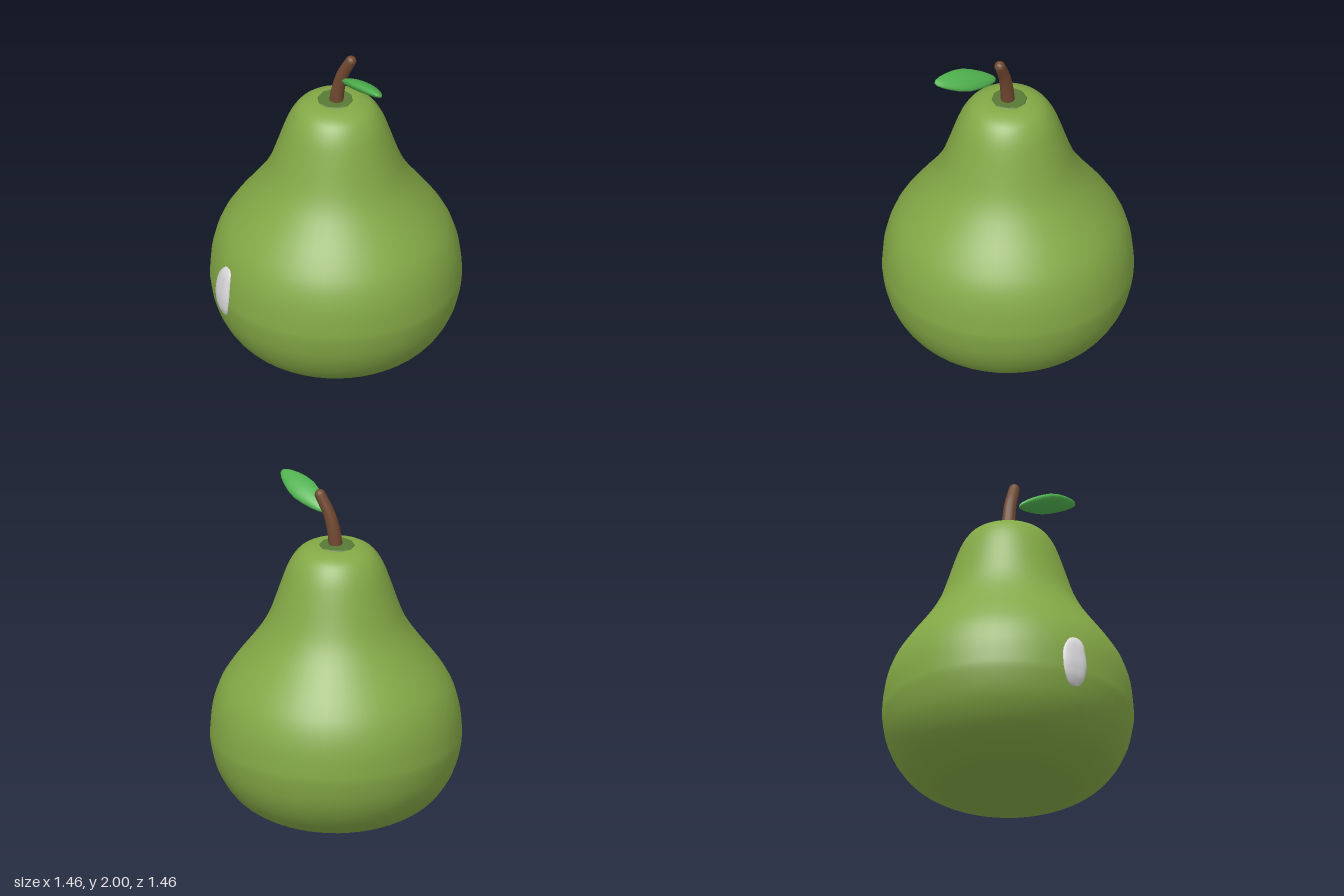
import * as THREE from 'three';

// Silhouette of the fruit as [radius, height]
const PROFILE = [
  [0, 0.03], [0.16, 0.02], [0.3, 0.005], [0.38, 0.017], [0.47, 0.05], [0.57, 0.115], [0.645, 0.205],
  [0.7, 0.32], [0.727, 0.45], [0.727, 0.53], [0.712, 0.66], [0.67, 0.79], [0.6, 0.905], [0.51, 1.025],
  [0.44, 1.125], [0.39, 1.22], [0.35, 1.33], [0.317, 1.43], [0.28, 1.53], [0.235, 1.605],
  [0.185, 1.645], [0.11, 1.667], [0, 1.662],
];

function bodyRadius(y) {
  for (let i = 3; i < PROFILE.length; i++) {
    const [r0, y0] = PROFILE[i - 1], [r1, y1] = PROFILE[i];
    if (y <= y1) return r0 + (r1 - r0) * (y - y0) / (y1 - y0);
  }
  return 0;
}

// Moves each vertex of a unit sphere by a rule
function shapedSphere(w, h, rule) {
  const geo = new THREE.SphereGeometry(1, w, h);
  const pos = geo.attributes.position, p = new THREE.Vector3();
  for (let i = 0; i < pos.count; i++) {
    rule(p.fromBufferAttribute(pos, i));
    pos.setXYZ(i, p.x, p.y, p.z);
  }
  geo.computeVertexNormals();
  return geo;
}

export function createModel() {
  const model = new THREE.Group();
  const mat = (name, color) => {
    const m = new THREE.MeshStandardMaterial({ color });
    m.name = name;
    return m;
  };
  const pearGreen = mat('pear green', 0x84a946);
  const darkGreen = mat('dark green', 0x587a36);
  const bark = mat('bark brown', 0x704830);
  const leafGreen = mat('leaf green', 0x4fb04e);
  const paleGrey = mat('pale grey', 0xdcdcde);
  const add = (name, geo, material, parent = model) => {
    const mesh = new THREE.Mesh(geo, material);
    mesh.name = name;
    parent.add(mesh);
    return mesh;
  };

  // Fruit
  const curve = new THREE.SplineCurve(PROFILE.map(([r, y]) => new THREE.Vector2(r, y)));
  const outline = curve.getPoints(66).map((p) => new THREE.Vector2(Math.max(p.x, 0), p.y));
  add('body', new THREE.LatheGeometry(outline, 48), pearGreen);

  // Dark patch round the foot of the stem
  const cap = add('stemSocket', new THREE.CylinderGeometry(0.1, 0.105, 0.007, 10), darkGreen);
  cap.position.set(-0.008, 1.669, -0.005);

  // Stem: bent, slightly tapering, with a rounded tip
  const stem = new THREE.Group();
  stem.name = 'stem';
  model.add(stem);
  const path = new THREE.CatmullRomCurve3([
    [0, 1.64, 0], [0.012, 1.74, 0], [0.04, 1.85, 0], [0.098, 1.968, 0],
  ].map((a) => new THREE.Vector3(...a)));
  const tube = new THREE.TubeGeometry(path, 16, 1, 12);
  const tp = tube.attributes.position;
  for (let i = 0; i < tp.count; i++) {
    const t = Math.floor(i / 13) / 16, c = path.getPointAt(t);
    const v = new THREE.Vector3().fromBufferAttribute(tp, i).sub(c).multiplyScalar(0.042 - 0.01 * t).add(c);
    tp.setXYZ(i, v.x, v.y, v.z);
  }
  tube.computeVertexNormals();
  add('stemShaft', tube, bark, stem);
  add('stemTip', new THREE.SphereGeometry(0.032, 12, 8), bark, stem).position.set(0.098, 1.968, 0);

  // Leaf: thick lozenge, long along x, wide along z, slightly cupped
  const leafGeo = shapedSphere(20, 16, (p) => {
    const t = p.x;
    const taper = 0.72 + 0.28 * (1 - Math.abs(t - 0.1));
    p.x = t * 0.215;
    p.z *= 0.078 * taper;
    p.y = p.y * 0.032 + 0.012 * (1 - t * t) - 0.006;
  });
  const axis = new THREE.Vector3(0.34, 0.12, 0.2).normalize();
  const side = new THREE.Vector3(-0.43, 0.5, 0.75);
  side.addScaledVector(axis, -side.dot(axis)).normalize();
  const normal = new THREE.Vector3().crossVectors(side, axis);
  const leaf = add('leaf', leafGeo, leafGreen);
  leaf.quaternion.setFromRotationMatrix(new THREE.Matrix4().makeBasis(axis, normal, side));
  leaf.position.set(0.248, 1.912, 0.142);

  // Pale chip hugging the skin, with a spike at its upper inner edge
  const centre = Math.atan2(-0.437, 0.6);
  add('skinChip', shapedSphere(18, 20, (p) => {
    const t = p.y;
    const y = 0.55 + t * 0.16;
    const flat = Math.sign(p.x) * Math.sqrt(Math.abs(p.x)) * 0.4 + p.x * 0.6;
    const lean = t > 0.4 ? (t - 0.4) * 0.03 : 0;
    const angle = centre + (flat * 0.079 + lean) / 0.72;
    const ridge = 1 + 0.15 * Math.sin(flat * 14);
    const r = bodyRadius(y) + 0.002 + p.z * 0.02 * ridge;
    p.set(Math.sin(angle) * r, y, Math.cos(angle) * r);
  }), paleGrey);

  return model;
}
